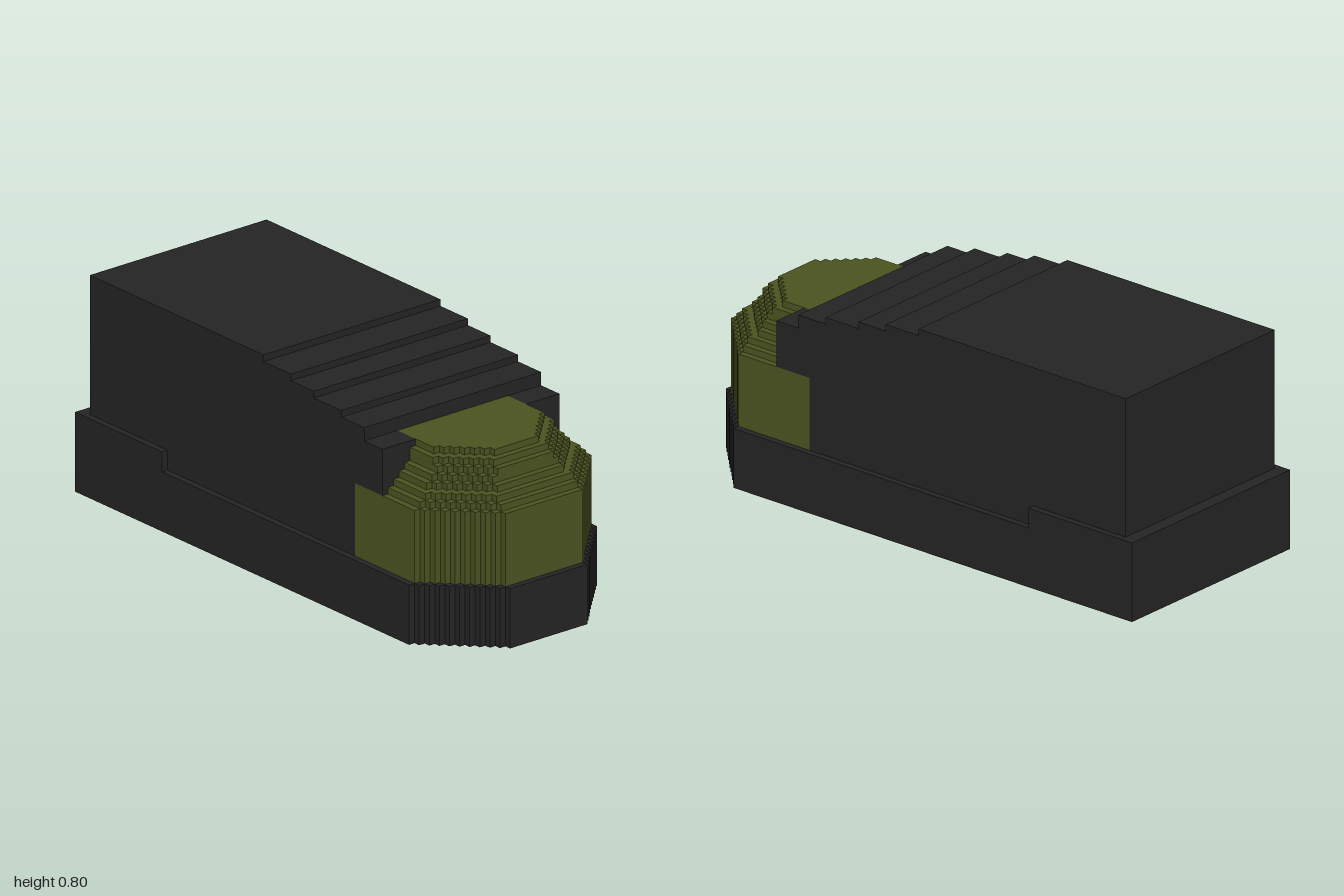
import * as THREE from 'three';

// All sizes below are counted in blocks; 83 blocks make the full length.
const UNIT = 2 / 83;

export function createModel() {
  const group = new THREE.Group();
  const black = new THREE.MeshStandardMaterial({ color: 0x242424 });
  const olive = new THREE.MeshStandardMaterial({ color: 0x4b5320 });

  const add = (name, geometry, material) => {
    const mesh = new THREE.Mesh(geometry.scale(UNIT, UNIT, UNIT), material);
    mesh.name = name;
    group.add(mesh);
  };

  const box = (name, material, [x0, x1], [y0, y1], [z0, z1]) => {
    const g = new THREE.BoxGeometry(x1 - x0, y1 - y0, z1 - z0);
    add(name, g.translate((x0 + x1) / 2, (y0 + y1) / 2, (z0 + z1) / 2), material);
  };

  // Horizontal slab whose front corners are cut in one-block stairs
  const steppedSlab = (name, material, y0, y1, zBack, zFront, halfFront, halfBack) => {
    const side = [];
    for (let half = halfFront, z = zFront; half <= halfBack; half++, z--) {
      side.push([half, z], [half, half === halfBack ? zBack : z - 1]);
    }
    const mirrored = side.map(([x, z]) => [-x, z]).reverse();
    const shape = new THREE.Shape([...side, ...mirrored].map(([x, z]) => new THREE.Vector2(x, -z)));
    const g = new THREE.ExtrudeGeometry(shape, { depth: y1 - y0, bevelEnabled: false });
    add(name, g.rotateX(-Math.PI / 2).translate(0, y0, 0), material);
  };

  // Sole with a raised heel rim
  steppedSlab('sole', black, 0, 9, -41.5, 41.5, 7, 17);
  box('heelRim', black, [-17, 17], [9, 12], [-41.5, -22.5]);

  // Upper: side profile stepping down toward the toe
  const profile = [[-39.5, 9], [18.5, 9], [18.5, 20], [20.5, 20]];
  [20.5, 15.5, 9.5, 4.5, -1.5, -6.5].forEach((z, i) => profile.push([z, 28 + i], [z, 29 + i]));
  profile.pop();
  profile.push([-39.5, 33]);
  const upperShape = new THREE.Shape(profile.map(([z, y]) => new THREE.Vector2(z, y)));
  const upper = new THREE.ExtrudeGeometry(upperShape, { depth: 32, bevelEnabled: false });
  add('upper', upper.rotateY(-Math.PI / 2).translate(16, 0, 0), black);

  // Shoulders either side of the toe cap's tongue
  box('leftShoulder', black, [10, 16], [20, 27], [20.5, 24.5]);
  box('rightShoulder', black, [-16, -10], [20, 27], [20.5, 24.5]);
  box('toeTongue', olive, [-10, 10], [20, 27], [20.5, 24.5]);

  // Toe cap: tall base, then shrinking layers [top, front z, front half, back half]
  steppedSlab('toeCapBase', olive, 9, 20, 18.5, 40.5, 7, 16);
  [
    [21, 39.5, 7, 15],
    [22, 38.5, 7, 14],
    [23, 37.5, 6, 13],
    [24, 36.5, 6, 12],
    [25, 36.5, 5, 11],
    [26, 35.5, 5, 11],
    [27, 34.5, 4, 10],
  ].forEach(([top, z, front, back]) => {
    steppedSlab('toeCapLayer', olive, top - 1, top, 24.5, z, front, back);
  });

  return group;
}
